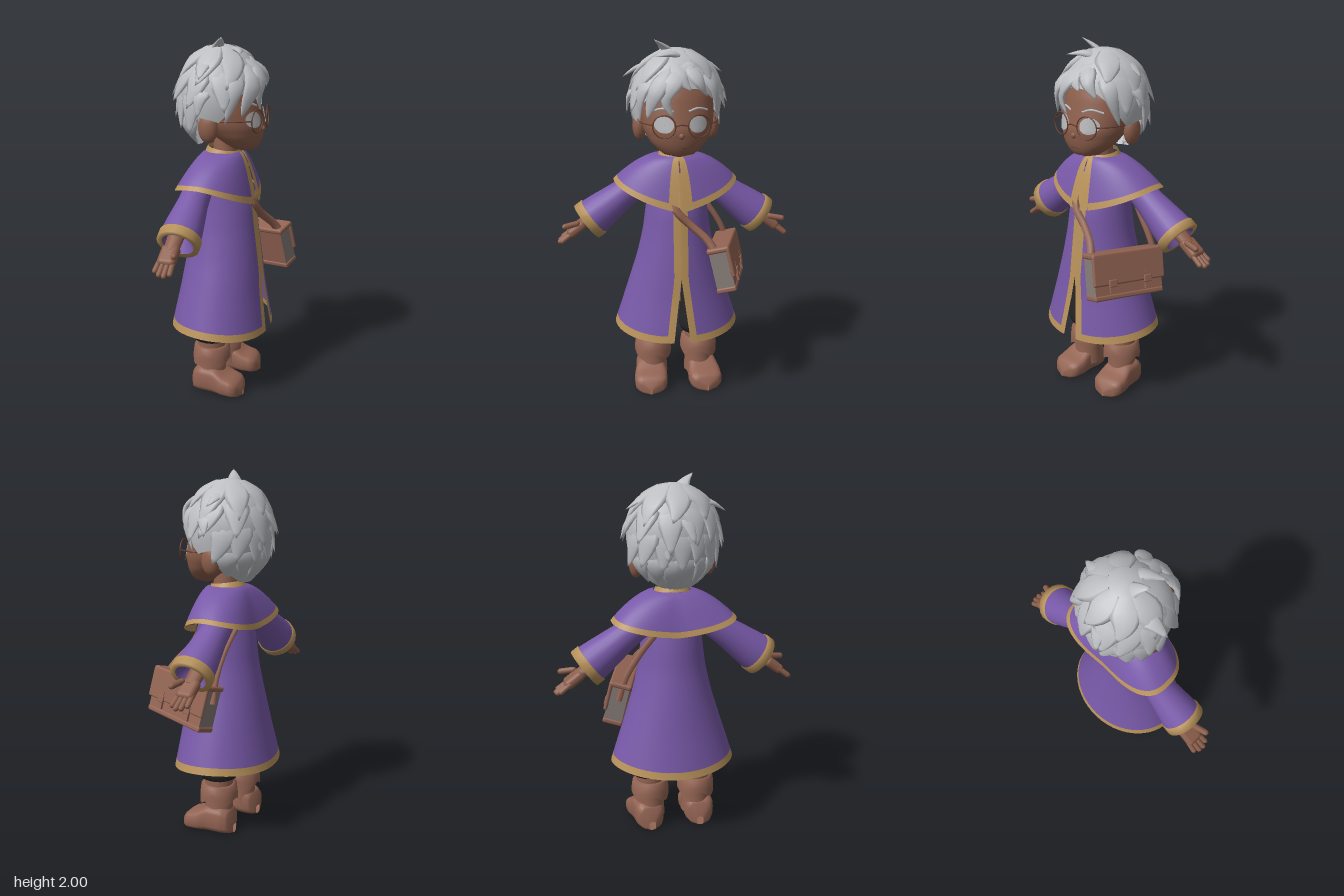
import * as THREE from 'three';
import { mergeVertices } from 'three/addons/utils/BufferGeometryUtils.js';
import { RoundedBoxGeometry } from 'three/addons/geometries/RoundedBoxGeometry.js';

const mat = (name, color) => new THREE.MeshStandardMaterial({ name, color, side: THREE.DoubleSide });
const M = {
  skin: mat('skin', 0x8c5e4b), leather: mat('leather', 0x936453), purple: mat('purple cloth', 0x7859a8),
  tan: mat('tan trim', 0xb8925a), hair: mat('grey hair', 0xbcbec2), black: mat('black cloth', 0x262626),
  eye: mat('pale eye', 0xb4b5b7), frame: mat('glasses frame', 0x68402f), canvas: mat('bag canvas', 0x857c76),
};
const V = (x, y, z) => new THREE.Vector3(x, y, z);
const TAU = Math.PI * 2;

function add(parent, name, geo, material, pos = [0, 0, 0], scale = [1, 1, 1]) {
  const m = new THREE.Mesh(geo, material);
  m.name = name;
  m.position.set(...pos);
  m.scale.set(...scale);
  parent.add(m);
  return m;
}
// Surface from a rule fn(u, v) -> [x, y, z], welded so seams stay smooth
function grid(fn, nu, nv) {
  let g = new THREE.PlaneGeometry(1, 1, nu, nv);
  const p = g.attributes.position;
  for (let i = 0; i < p.count; i++) p.setXYZ(i, ...fn(p.getX(i) + 0.5, 0.5 - p.getY(i)));
  g.deleteAttribute('uv');
  g.deleteAttribute('normal');
  g = mergeVertices(g, 1e-5);
  g.computeVertexNormals();
  return g;
}
// Interpolates rows [key, a, b, ...] with rising keys
function interp(rows, t) {
  let i = 1;
  while (i < rows.length - 1 && rows[i][0] < t) i++;
  const a = rows[i - 1], b = rows[i];
  const k = THREE.MathUtils.clamp((t - a[0]) / (b[0] - a[0]), 0, 1);
  return a.slice(1).map((v, j) => v + (b[j + 1] - v) * k);
}
const spow = (x, e) => Math.sign(x) * Math.abs(x) ** e;
const tube = (pts, r, n = 16, sides = 6) =>
  new THREE.TubeGeometry(new THREE.CatmullRomCurve3(pts.map(p => V(...p))), n, r, sides);
const lathe = (pts, n = 20) => new THREE.LatheGeometry(pts.map(p => new THREE.Vector2(...p)), n);

// Head rings: y, centre x, radius x, radius z
const HEAD = [[1.39, 0.1, 0.001, 0.001], [1.397, 0.1, 0.045, 0.055], [1.42, 0.09, 0.08, 0.1], [1.47, 0.062, 0.125, 0.152],
  [1.54, 0.025, 0.172, 0.188], [1.62, 0.003, 0.175, 0.2], [1.72, -0.015, 0.168, 0.195], [1.82, -0.03, 0.14, 0.15], [1.9, -0.04, 0.001, 0.001]];
const faceX = (y, z) => {
  const [cx, rx, rz] = interp(HEAD, y);
  return cx + rx * Math.sqrt(Math.max(0, 1 - (z / rz) ** 2));
};

function buildHead(root) {
  const g = new THREE.Group();
  g.name = 'head';
  root.add(g);
  add(g, 'face', grid((u, v) => {
    const y = 1.39 + 0.51 * v, [cx, rx, rz] = interp(HEAD, y), a = (u === 1 ? 0 : u) * TAU;
    return [cx + rx * Math.cos(a), y, rz * Math.sin(a)];
  }, 28, 24), M.skin);
  add(g, 'neck', new THREE.CylinderGeometry(0.06, 0.075, 0.16, 16), M.skin, [-0.02, 1.4, 0]);
  add(g, 'nose', new THREE.SphereGeometry(1, 10, 8), M.skin, [0.188, 1.52, 0], [0.018, 0.018, 0.016]);
  add(g, 'mouth', tube([-0.025, 0, 0.025].map(z => [faceX(1.455, z), 1.455, z]), 0.003, 8), M.frame);
  for (const s of [1, -1]) {
    add(g, 'ear', new THREE.SphereGeometry(1, 14, 10), M.skin, [-0.045, 1.54, s * 0.2], [0.055, 0.08, 0.038]);
    // Thin eye discs wrapped on to the face
    const eye = new THREE.RingGeometry(0.001, 0.05, 22, 4), p = eye.attributes.position;
    for (let i = 0; i < p.count; i++) {
      const y = p.getY(i) * 0.85 + 1.578, z = -p.getX(i) + s * 0.09;
      p.setXYZ(i, faceX(y, z) + 0.005, y, z);
    }
    eye.computeVertexNormals();
    add(g, 'eye', eye, M.eye);
    add(g, 'brow', tube([0.04, 0.09, 0.145].map((z, i) => [faceX(1.66, z) + 0.002, [1.645, 1.66, 1.645][i], s * z]), 0.006, 8), M.hair);
    const rim = add(g, 'glassesRim', new THREE.TorusGeometry(0.06, 0.0035, 6, 28), M.frame, [0.19, 1.572, s * 0.092]);
    rim.rotation.y = Math.PI / 2 - s * 0.2;
    add(g, 'glassesTemple', tube([[0.18, 1.58, s * 0.15], [0.1, 1.58, s * 0.2], [-0.03, 1.58, s * 0.21]], 0.0035), M.frame);
  }
  add(g, 'glassesBridge', tube([[0.202, 1.575, 0.034], [0.21, 1.583, 0], [0.202, 1.575, -0.034]], 0.0035, 8), M.frame);
}

// Hair volume: point at azimuth a (0 = front) and height y
function hairPt(a, y, f = 1) {
  const t = (y - 1.69) / (y > 1.69 ? 0.265 : 0.325), r = Math.sqrt(Math.max(0, 1 - t * t)) * f;
  return [-0.045 + 0.228 * r * Math.cos(a), y, 0.247 * r * Math.sin(a)];
}
// Flattened lock along a curve, sunk in at its root and pointed at its tip
function lock(pts, w, t) {
  const c = new THREE.CatmullRomCurve3(pts.map(p => V(...p))), mid = V(-0.04, 1.66, 0);
  return grid((u, v) => {
    const p = c.getPoint(v), tan = c.getTangent(v);
    const side = tan.clone().cross(p.clone().sub(mid)).normalize(), out = side.clone().cross(tan);
    const k = Math.pow(1 - v, 0.85) * Math.min(1, 0.35 + 2 * v) * 1.5, a = (u === 1 ? 0 : u) * TAU;
    p.addScaledVector(side, Math.cos(a) * w * k).addScaledVector(out, Math.sin(a) * t * k);
    return [p.x, p.y, p.z];
  }, 8, 8);
}
function buildHair(root) {
  const g = new THREE.Group();
  g.name = 'hair';
  root.add(g);
  const edge = [[0, 1.77], [0.5, 1.755], [0.95, 1.67], [1.2, 1.57], [1.5, 1.59], [1.85, 1.6], [2.05, 1.47], [2.5, 1.42], [3.15, 1.41]];
  add(g, 'hairCap', grid((u, v) => {
    const a = (u === 1 ? 0 : u) * TAU, low = interp(edge, Math.min(a, TAU - a))[0];
    return hairPt(a, low + (1.955 - low) * Math.sin(v * Math.PI / 2), 1);
  }, 40, 16), M.hair);
  let seed = 7;
  const rnd = () => (seed = (seed * 16807) % 2147483647) / 2147483647 - 0.5;
  // Rows of long swept locks: start y, tip y, count, first azimuth, tip flare
  for (const [y0, y1, n, a0, flare] of [[1.94, 1.76, 7, 0.9, 1.06], [1.87, 1.63, 8, 1.1, 1.14],
    [1.76, 1.53, 7, 1.95, 1.18], [1.62, 1.42, 6, 2.1, 1]])
    for (let i = 0; i < n; i++) {
      const a = a0 + (TAU - 2 * a0) * i / (n - 1) + rnd() * 0.2, d = 0.12 + rnd() * 0.4, tip = y1 + rnd() * 0.08;
      add(g, 'lock', lock([hairPt(a, y0, 0.9), hairPt(a + d * 0.3, (y0 + tip) / 2, 0.98), hairPt(a + d, tip, flare)], 0.07, 0.018), M.hair);
    }
  // Fringe, sideburns, crown tufts and side spikes
  for (const [w, ...pts] of [
    [0.05, [0.1, 1.88, -0.06], [0.185, 1.8, 0.04], [0.195, 1.71, 0.085], [0.19, 1.61, 0.04]],
    [0.05, [0.1, 1.87, 0.03], [0.175, 1.77, 0.12], [0.15, 1.67, 0.16], [0.13, 1.6, 0.175]],
    [0.05, [0.06, 1.85, 0.1], [0.1, 1.74, 0.195], [0.05, 1.56, 0.21]],
    [0.045, [0.1, 1.88, -0.03], [0.175, 1.8, -0.09], [0.165, 1.72, -0.14]],
    [0.05, [0.06, 1.86, -0.1], [0.11, 1.75, -0.185], [0.06, 1.57, -0.208]],
    [0.045, [0.1, 1.88, 0.03], [0.18, 1.81, 0], [0.2, 1.755, -0.05]],
    [0.045, [-0.08, 1.88, 0.02], [-0.04, 1.95, 0.06], [0, 2.0, 0.12]],
    [0.04, [0, 1.9, -0.03], [0.06, 1.93, 0.04], [0.11, 1.92, 0.13]],
    [0.045, [-0.08, 1.86, -0.08], [-0.07, 1.87, -0.17], [-0.05, 1.82, -0.255]],
    [0.05, [-0.08, 1.86, 0.1], [-0.07, 1.85, 0.2], [-0.06, 1.8, 0.29]],
    [0.05, [-0.02, 1.78, -0.17], [-0.03, 1.75, -0.24], [-0.05, 1.67, -0.28]],
    [0.05, [-0.05, 1.76, 0.2], [-0.07, 1.7, 0.25], [-0.08, 1.6, 0.265]],
    [0.055, [-0.16, 1.84, 0.02], [-0.25, 1.78, 0.03], [-0.31, 1.67, 0.06]],
    [0.05, [-0.16, 1.72, -0.08], [-0.24, 1.66, -0.09], [-0.28, 1.58, -0.07]]])
    add(g, 'tuft', lock(pts, w, 0.018), M.hair);
}

// Coat rings: y, centre x, radius x, radius z
const COAT = [[0.36, -0.04, 0.282, 0.365], [0.6, -0.033, 0.238, 0.288], [0.8, -0.025, 0.21, 0.225], [0.95, -0.02, 0.187, 0.19],
  [1.1, -0.02, 0.17, 0.17], [1.3, -0.03, 0.12, 0.15]];
const coatPt = (a, y) => {
  const [cx, rx, rz] = interp(COAT, y);
  return [cx + rx * Math.cos(a), y, rz * Math.sin(a)];
};
const slit = (y, w = 0) => (Math.max(0, 0.72 - y) * 0.13 + w) / interp(COAT, y)[2];
const hem = a => 0.362 + 0.03 * Math.sin(a) ** 2 + 0.008 * (1 - Math.cos(a));

function buildCoat(root) {
  const g = new THREE.Group();
  g.name = 'coat';
  root.add(g);
  const panel = (top, low) => (u, v) => {
    const h = hem(u * TAU), y0 = top ?? h + 0.04, y = y0 + (h + low - y0) * v, s = slit(y, 0.04);
    return coatPt(s + (TAU - 2 * s) * u, y);
  };
  add(g, 'coatBody', grid(panel(1.3, 0.04), 48, 18), M.purple);
  add(g, 'hemTrim', grid(panel(null, 0), 48, 1), M.tan);
  for (const s of [1, -1])
    add(g, 'frontTrim', grid((u, v) => {
      const y = 1.3 + (hem(0) - 1.3) * v;
      return coatPt(s * (slit(y) + u * (slit(y, 0.04) - slit(y))), y);
    }, 2, 24), M.tan);

  // Shoulder cape, low at the front and back and high over the arms
  const cape = (a, v) => {
    const s = Math.abs(Math.sin(a)), c = Math.cos(a);
    const yb = 1.235 - (c > 0 ? 0.135 : 0.075) * (1 - s) ** 0.8;
    const r = v ** 0.75, sz = spow(Math.sin(a), 1 - 0.25 * v);
    return [-0.03 - 0.05 * v * s + (0.095 + 0.1 * r) * spow(c, 0.8), 1.385 + (yb - 1.385) * v ** 1.25, (0.1 + 0.245 * r) * sz];
  };
  const e0 = 0.015, e1 = 0.11;
  add(g, 'cape', grid((u, v) => cape(e1 + (TAU - 2 * e1) * u, v * 0.89), 56, 12), M.purple);
  add(g, 'capeHem', grid((u, v) => cape(e1 + (TAU - 2 * e1) * u, 0.89 + v * 0.11), 56, 2), M.tan);
  for (const s of [1, -1])
    add(g, 'capeFrontTrim', grid((u, v) => cape(s * (e0 + (e1 + 0.12 * (1 - v) - e0) * u), v).map((k, i) => k + (i ? 0 : 0.004)), 2, 12), M.tan);
  add(g, 'collar', grid((u, v) => {
    const a = (u === 1 ? 0 : u) * TAU, r = 0.1 - 0.014 * v;
    return [-0.03 + r * Math.cos(a), 1.375 + 0.028 * v - 0.012 * Math.cos(a), r * 1.02 * Math.sin(a)];
  }, 28, 1), M.tan);
}

// Arm local axis y runs from shoulder to fingertips
function buildArm(root, s) {
  const g = new THREE.Group();
  g.name = 'arm';
  g.position.set(-0.1, 1.235, s * 0.17);
  g.quaternion.setFromUnitVectors(V(0, 1, 0), V(0, -0.6, s * 0.8).normalize());
  root.add(g);
  add(g, 'sleeve', lathe([[0.001, -0.05], [0.055, -0.04], [0.074, 0], [0.082, 0.15], [0.102, 0.3], [0.109, 0.37]]), M.purple);
  add(g, 'cuff', lathe([[0.085, 0.41], [0.115, 0.41], [0.115, 0.362], [0.1, 0.36]]), M.tan);
  add(g, 'sleeveLining', lathe([[0.04, 0.34], [0.086, 0.41]]), M.purple);
  add(g, 'wrist', new THREE.CylinderGeometry(0.036, 0.045, 0.16, 12), M.skin, [-0.025, 0.38, 0], [1.1, 1, 0.85]);
  add(g, 'palm', new RoundedBoxGeometry(0.1, 0.12, 0.055, 3, 0.024), M.skin, [-0.025, 0.485, 0]);
  [0.075, 0.09, 0.085, 0.065].forEach((len, i) => {
    const f = add(g, 'finger', new THREE.CapsuleGeometry(0.0145, len, 3, 8), M.skin, [0.012 - i * 0.026, 0.53 + len / 2 - 0.015, 0]);
    f.rotation.z = (i - 1.5) * 0.06;
  });
  const thumb = add(g, 'thumb', new THREE.CapsuleGeometry(0.017, 0.07, 3, 8), M.skin, [0.022, 0.49, -s * 0.045]);
  thumb.rotation.set(-s * 0.5, 0, -0.25);
}

function buildLeg(root, s) {
  const g = new THREE.Group();
  g.name = 'leg';
  g.position.set(-0.055, 0, s * 0.135);
  root.add(g);
  add(g, 'trouserLeg', lathe([[0.07, 0.305], [0.1, 0.32], [0.116, 0.355], [0.112, 0.4], [0.105, 0.5], [0.1, 0.72]]), M.black);
  add(g, 'bootShaft', lathe([[0.085, 0.06], [0.08, 0.14], [0.078, 0.2], [0.082, 0.33]]), M.leather);
  // Folded boot cuff with a pointed lower edge
  add(g, 'bootCuff', grid((u, v) => {
    const a = (u === 1 ? 0 : u) * TAU, low = 0.185 + 0.018 * Math.cos(a * 4);
    const r = [0.08, 0.1, 0.107, 0.107][Math.round(v * 3)], y = 0.28 + (low - 0.28) * [0, 0.05, 0.6, 1][Math.round(v * 3)];
    return [r * Math.cos(a), y, r * Math.sin(a)];
  }, 32, 3), M.leather);
  // Foot rings along x: x, height, half width
  const FOOT = [[-0.105, 0.05, 0.02], [-0.1, 0.12, 0.06], [-0.05, 0.155, 0.085], [0.04, 0.155, 0.086], [0.1, 0.115, 0.097], [0.16, 0.095, 0.092], [0.19, 0.07, 0.06], [0.2, 0.03, 0.005]];
  const foot = add(g, 'bootFoot', grid((u, v) => {
    const x = -0.105 + 0.305 * v, [h, w] = interp(FOOT, x), a = (u === 1 ? 0 : u) * TAU;
    return [x, h / 2 * (1 + spow(Math.sin(a), 0.6)), w * spow(Math.cos(a), 0.6)];
  }, 20, 20), M.leather, [0, 0, s * 0.015]);
  foot.rotation.y = -s * 0.08;
}

function buildBag(root) {
  const g = new THREE.Group();
  g.name = 'satchel';
  g.position.set(0.088, 0.785, -0.268);
  g.rotation.set(-0.25, 2.86, -0.07, 'YXZ');
  root.add(g);
  const L = M.leather, C = M.canvas;
  add(g, 'bagBody', new THREE.BoxGeometry(0.42, 0.23, 0.1), [C, C, L, L, L, L]);
  add(g, 'bagBase', new RoundedBoxGeometry(0.43, 0.03, 0.11, 2, 0.01), L, [0, -0.11, 0]);
  add(g, 'flapTop', new RoundedBoxGeometry(0.445, 0.03, 0.125, 2, 0.012), L, [0, 0.115, 0.003]);
  add(g, 'flapFront', new RoundedBoxGeometry(0.445, 0.17, 0.022, 2, 0.01), L, [0, 0.04, 0.055]);
  for (const x of [-0.11, 0.11]) {
    add(g, 'buckleStrap', new THREE.BoxGeometry(0.035, 0.1, 0.012), L, [x, -0.04, 0.062]);
    add(g, 'buckle', new RoundedBoxGeometry(0.048, 0.04, 0.014, 2, 0.005), L, [x, -0.035, 0.067]);
  }
  // Shoulder strap: across the chest and up the back, both under the cape
  add(root, 'strapFront', tube([[0.255, 0.88, -0.18], [0.215, 0.95, -0.14], [0.17, 1.03, -0.05], [0.155, 1.1, 0.02], [0.1, 1.2, 0.07]], 0.023), L);
  add(root, 'strapBack', tube([[-0.125, 0.8, -0.32], [-0.12, 0.93, -0.275], [-0.125, 1.06, -0.195], [-0.15, 1.19, -0.1]], 0.018), L);
}

export function createModel() {
  const root = new THREE.Group();
  root.name = 'robedTraveller';
  buildHead(root);
  buildHair(root);
  buildCoat(root);
  for (const s of [1, -1]) {
    buildArm(root, s);
    buildLeg(root, s);
  }
  buildBag(root);
  return root;
}
